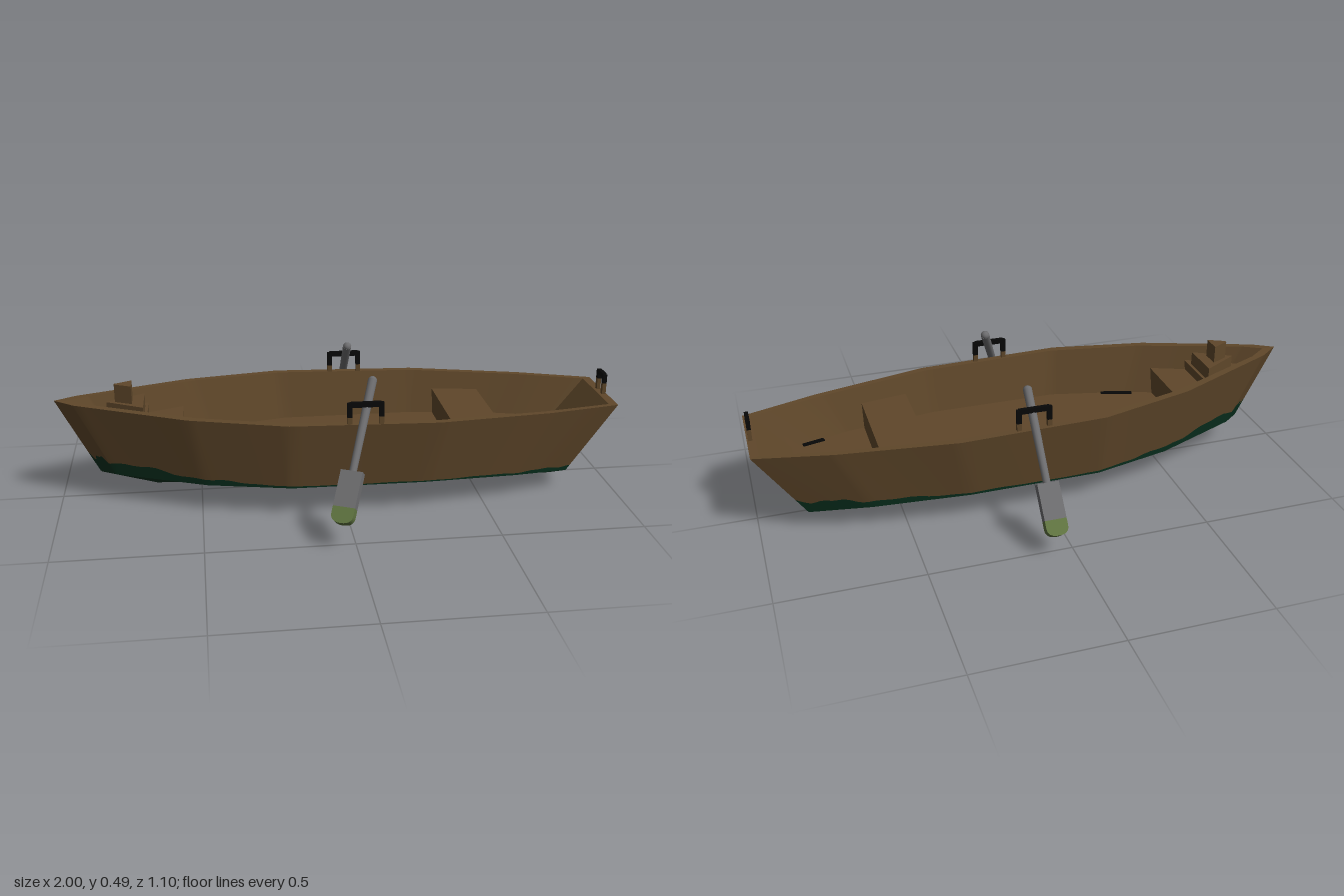
import * as THREE from 'three';

const mat = (name, color, side = THREE.FrontSide) =>
  Object.assign(new THREE.MeshStandardMaterial({ color, side }), { name });

export function createModel() {
  const wood = mat('brown wood', 0x5f472a, THREE.DoubleSide);
  const green = mat('green bottom paint', 0x08301e, THREE.DoubleSide);
  const grey = mat('grey oar', 0x6c6c6e);
  const moss = mat('mossy oar tip', 0x5f7340);
  const black = mat('black iron', 0x080808);

  const boat = new THREE.Group();
  boat.name = 'rowingBoat';
  const hull = new THREE.Group();
  hull.name = 'hull';
  hull.position.z = 0.015;
  boat.add(hull);

  const add = (parent, name, geo, material) => {
    const m = new THREE.Mesh(geo, material);
    m.name = name;
    parent.add(m);
    return m;
  };

  // Hull lines from bow to stern: x, y, half width
  const rimLine = [[-1, .378, 0], [-.93, .375, .05], [-.54, .364, .215], [-.2, .356, .295], [.32, .345, .295], [.73, .333, .225], [1, .325, .155]];
  const chineLine = [[-.86, .105, 0], [-.8, .105, .045], [-.48, .105, .18], [-.19, .11, .255], [.28, .108, .255], [.62, .09, .2], [.83, .07, .135]];
  const keelLine = [[-.855, .1, 0], [-.66, .045, 0], [-.48, .04, 0], [-.19, .032, 0], [.28, .02, 0], [.62, .009, 0], [.81, .002, 0]];
  // Height of the paint edge, as a share of the side panel
  const paintNear = [.24, .2, .09, .025, .02, .04, .08];
  const paintFar = [.24, .2, .09, .03, .04, .12, .22];

  const N = 72, floorY = .185;
  const at = (line, u) => {
    const i = Math.min(Math.floor(u * 6), 5), f = u * 6 - i;
    if (typeof line[0] === 'number') return line[i] + (line[i + 1] - line[i]) * f;
    return new THREE.Vector3(...line[i]).lerp(new THREE.Vector3(...line[i + 1]), f);
  };
  const ripple = (t) => .16 * Math.sin(t * 47) + .1 * Math.sin(t * 101 + 1);
  const mirror = (p, s) => { p.z *= s; return p; };

  // Smooth ribbon between two rows of points
  function strip(name, a, b, count, material, flip = false) {
    const pos = [], idx = [];
    for (let i = 0; i <= count; i++) pos.push(...a(i / count).toArray(), ...b(i / count).toArray());
    for (let i = 0; i < count; i++) {
      const k = i * 2;
      if (flip) idx.push(k, k + 2, k + 1, k + 1, k + 2, k + 3);
      else idx.push(k, k + 1, k + 2, k + 1, k + 3, k + 2);
    }
    const g = new THREE.BufferGeometry();
    g.setAttribute('position', new THREE.Float32BufferAttribute(pos, 3));
    g.setIndex(idx);
    g.computeVertexNormals();
    return add(hull, name, g, material);
  }

  const innerRim = (u, s) => {
    const p = at(rimLine, u);
    return p.set(.01 + p.x * .96, p.y, p.z * .915 * s);
  };
  const floorEdge = (u, s) => {
    const p = at(chineLine, u);
    return p.set(p.x + .015, floorY, p.z * .91 * s);
  };

  for (const s of [1, -1]) {
    const rim = (u) => mirror(at(rimLine, u), s);
    const chine = (u) => mirror(at(chineLine, u), s);
    const keel = (u) => at(keelLine, u);
    const edge = (u) => chine(u).lerp(rim(u), at(s > 0 ? paintNear : paintFar, u) * (1 + ripple(u + s)));
    const flip = s < 0;
    strip('sidePlanks', rim, edge, N, wood, flip);
    strip('sidePaint', edge, chine, N, green, flip);
    strip('bottom', chine, keel, N, green, flip);
    strip('gunwale', (u) => innerRim(u, s), rim, N, wood, flip);
    strip('innerWall', (u) => floorEdge(u, s), (u) => innerRim(u, s), N, wood, flip);
  }
  strip('floor', (u) => floorEdge(u, -1), (u) => floorEdge(u, 1), N, wood);

  // Transom, running across from -z to +z
  const across = (p, t) => mirror(p, t * 2 - 1);
  const sternRim = (t) => across(at(rimLine, 1), t);
  const sternBottom = (t) => across(at(keelLine, 1).lerp(at(chineLine, 1), Math.abs(t * 2 - 1)), t);
  const sternEdge = (t) => across(at(chineLine, 1).lerp(at(rimLine, 1), .21 * (1 + ripple(t * .3) * .4)), t);
  strip('transom', sternRim, sternEdge, 16, wood, true);
  strip('transomPaint', sternEdge, sternBottom, 16, green, true);
  strip('transomTop', (t) => innerRim(1, t * 2 - 1), sternRim, 2, wood, true);
  strip('transomInside', (t) => floorEdge(1, t * 2 - 1), (t) => innerRim(1, t * 2 - 1), 2, wood, true);

  // Blocks tapering along x (half width h0 at x0, h1 at x1) and narrowing to the foot
  function wedge(name, x0, h0, x1, h1, bottom, top, foot = 1) {
    const shape = new THREE.Shape([[x0, -h0], [x1, -h1], [x1, h1], [x0, h0]].map((p) => new THREE.Vector2(...p)));
    const g = new THREE.ExtrudeGeometry(shape, { depth: top - bottom, bevelEnabled: false });
    g.rotateX(Math.PI / 2).translate(0, top, 0);
    const pos = g.attributes.position;
    for (let i = 0; i < pos.count; i++) if (pos.getY(i) < top - .001) pos.setZ(i, pos.getZ(i) * foot);
    g.computeVertexNormals();
    add(hull, name, g, wood);
  }
  wedge('sternSeat', .4, .25, .57, .222, floorY - .005, .275, .88);
  wedge('bowSeat', -.68, .125, -.555, .175, floorY - .005, .28, .82);
  wedge('bowDeck', -.865, .02, -.68, .125, floorY - .005, .315, .75);
  wedge('postBase', -.82, .002, -.69, .075, .31, .365);
  wedge('bowPost', -.79, .004, -.73, .033, .36, .43);

  // Dark stains on the floor boards: x, z, length, width, turn
  for (const [x, z, l, w, turn] of [[.842, 0, .016, .13, 0], [.765, .135, .08, .016, .25], [-.42, .165, .12, .016, -.3], [-.548, -.125, .012, .035, 0]]) {
    const stain = add(hull, 'floorStain', new THREE.BoxGeometry(l, .006, w), black);
    stain.position.set(x, floorY + .002, z);
    stain.rotation.y = turn;
  }

  // Iron loops on short wooden feet
  function rowlock(name, x, y, z, width, footH, legH, turn) {
    const g = new THREE.Group();
    g.name = name;
    g.position.set(x, y, z);
    g.rotation.y = turn;
    for (const s of [-1, 1]) {
      const px = s * (width / 2 - .008);
      add(g, 'foot', new THREE.BoxGeometry(.016, footH + .01, .014), wood).position.set(px, footH / 2 - .005, 0);
      add(g, 'leg', new THREE.BoxGeometry(.017, legH, .014), black).position.set(px, footH + legH / 2, 0);
    }
    add(g, 'bar', new THREE.BoxGeometry(width - .016, .018, .014), black).position.y = footH + legH - .006;
    boat.add(g);
  }
  rowlock('leftRowlock', .06, .35, .3, .125, .026, .05, 0);
  rowlock('rightRowlock', .06, .35, -.262, .125, .026, .05, 0);
  rowlock('sternRowlock', .988, .325, .018, .072, .042, .033, Math.PI / 2);

  // Oar running from handle end to blade end
  function oar(name, from, to) {
    const a = new THREE.Vector3(...from), b = new THREE.Vector3(...to);
    const length = a.distanceTo(b);
    const up = a.clone().sub(b).normalize();
    const wide = new THREE.Vector3().crossVectors(up, new THREE.Vector3(0, 1, 0)).normalize();
    const g = new THREE.Group();
    g.name = name;
    g.position.copy(b);
    g.quaternion.setFromRotationMatrix(new THREE.Matrix4().makeBasis(wide, up, new THREE.Vector3().crossVectors(wide, up)));
    const shaft = length - .16;
    add(g, 'shaft', new THREE.CylinderGeometry(.016, .013, shaft, 12), grey).position.y = length - shaft / 2 - .008;
    add(g, 'handleEnd', new THREE.SphereGeometry(.016, 12, 8), grey).position.y = length - .012;
    const w = .038, thick = .032;
    add(g, 'blade', new THREE.BoxGeometry(w * 2, .125, thick), grey).position.y = .1175;
    const tip = new THREE.Shape();
    tip.moveTo(w, .055);
    tip.lineTo(-w, .055);
    tip.lineTo(-w, .03);
    tip.quadraticCurveTo(-w, 0, 0, 0);
    tip.quadraticCurveTo(w, 0, w, .03);
    const tipGeo = new THREE.ExtrudeGeometry(tip, { depth: thick, bevelEnabled: false, curveSegments: 8 });
    add(g, 'bladeTip', tipGeo, moss).position.z = -thick / 2;
    boat.add(g);
  }
  oar('leftOar', [.095, .49, .23], [-.052, .093, .53]);
  oar('rightOar', [.065, .475, -.195], [.065, .085, -.535]);

  return boat;
}
